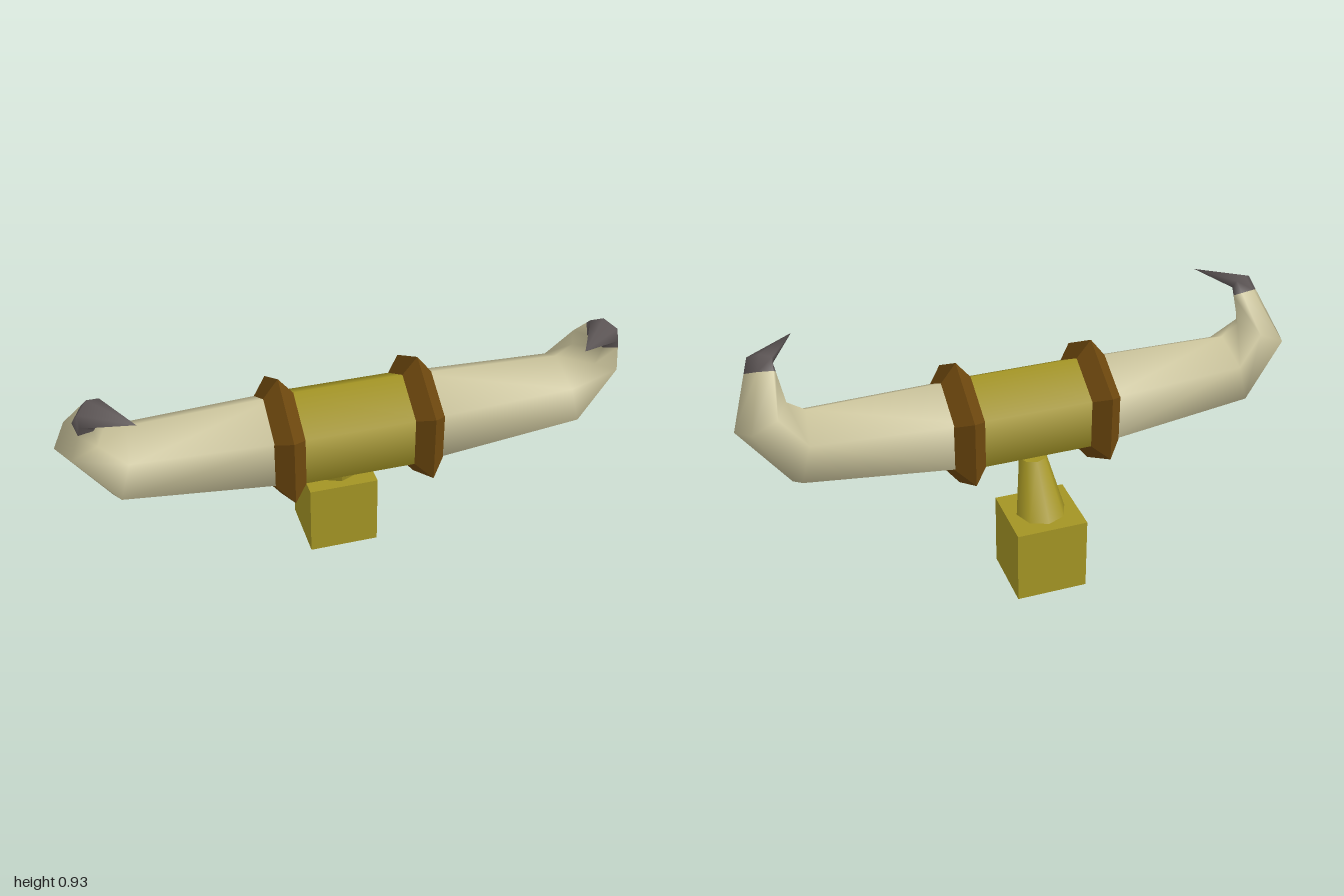
import * as THREE from 'three';

const mat = (name, color, extra = {}) => {
  const m = new THREE.MeshStandardMaterial({ color, ...extra });
  m.name = name;
  return m;
};

export function createModel() {
  const gold = mat('gold', 0xa39424);
  const brown = mat('brown', 0x6e480e, { flatShading: true });
  const ivory = mat('ivory', 0xcbc49c);
  const dark = mat('darkTip', 0x5c5555);

  const model = new THREE.Group();
  model.name = 'hornedHandlebar';
  const add = (name, geo, material, x = 0, y = 0, z = 0) => {
    const mesh = new THREE.Mesh(geo, material);
    mesh.name = name;
    mesh.position.set(x, y, z);
    model.add(mesh);
    return mesh;
  };
  const axisY = 0.58, axisZ = 0.027;

  // Mounting block
  add('mountBlock', new THREE.BoxGeometry(0.256, 0.275, 0.248), gold, 0, 0.1375, -0.149);

  // Neck: a tapered post leaning forward into the barrel
  const neck = new THREE.CylinderGeometry(0.05, 0.09, 0.18, 8);
  const np = neck.attributes.position;
  for (let i = 0; i < np.count; i++) np.setZ(i, np.getZ(i) + np.getY(i) * 0.5);
  neck.computeVertexNormals();
  add('neck', neck, gold, 0, 0.363, -0.103);

  // Hexagonal barrel along x
  const barrel = new THREE.CylinderGeometry(0.18, 0.18, 0.48, 6, 1, true, Math.PI / 2);
  barrel.rotateZ(-Math.PI / 2);
  add('barrel', barrel, gold, 0, axisY, axisZ);

  // Horn cross-sections: centre, outer axis, front axis
  const sections = [
    [[0.24, 0.581, 0.027], [0, -0.175, 0], [0, 0, 0.176]],
    [[0.795, 0.605, 0.035], [0.035, -0.136, 0], [0, 0, 0.14]],
    [[0.91, 0.74, 0.036], [0.09, -0.04, 0], [0, -0.015, 0.108]],
    null, // colour change, blended below
    [[0.877, 0.89, 0.145], [0.04, 0.01, 0.015], [0.02, -0.035, 0.035]],
  ];
  const blend = 0.78;
  sections[3] = sections[2].map((v, j) =>
    v.map((n, k) => n + (sections[4][j][k] - n) * blend));
  const tip = [0.748, 0.905, 0.27];

  const makeHorn = (side) => {
    const pos = [], idx = [];
    const tri = (a, b, c) => (side > 0 ? idx.push(a, b, c) : idx.push(a, c, b));
    for (const [c, u, w] of sections) {
      for (let i = 0; i < 6; i++) {
        const a = (i * Math.PI) / 3;
        const p = c.map((n, k) => n + u[k] * Math.cos(a) + w[k] * Math.sin(a));
        pos.push(p[0] * side, p[1], p[2]);
      }
    }
    pos.push(tip[0] * side, tip[1], tip[2]);
    for (let r = 0; r < 4; r++) {
      for (let i = 0; i < 6; i++) {
        const a = r * 6 + i, b = r * 6 + ((i + 1) % 6);
        tri(a, a + 6, b);
        tri(b, a + 6, b + 6);
      }
    }
    for (let i = 0; i < 6; i++) tri(24 + i, 30, 24 + ((i + 1) % 6));
    const geo = new THREE.BufferGeometry();
    geo.setAttribute('position', new THREE.Float32BufferAttribute(pos, 3));
    geo.setIndex(idx);
    geo.computeVertexNormals();
    geo.addGroup(0, 108, 0);
    geo.addGroup(108, idx.length - 108, 1);
    return geo;
  };

  // Collar with a ridged rim
  const profile = [[0.15, -0.055], [0.176, -0.055], [0.244, 0], [0.172, 0.055], [0.15, 0.055]];
  const collar = new THREE.LatheGeometry(
    profile.map(([r, y]) => new THREE.Vector2(r, y)), 6, Math.PI / 2);
  collar.rotateZ(-Math.PI / 2);

  for (const side of [1, -1]) {
    const label = side > 0 ? 'left' : 'right';
    const ring = add(label + 'Collar', collar, brown, side * 0.245, axisY, axisZ);
    if (side < 0) ring.rotation.y = Math.PI;
    add(label + 'Horn', makeHorn(side), [ivory, dark]);
  }
  return model;
}
